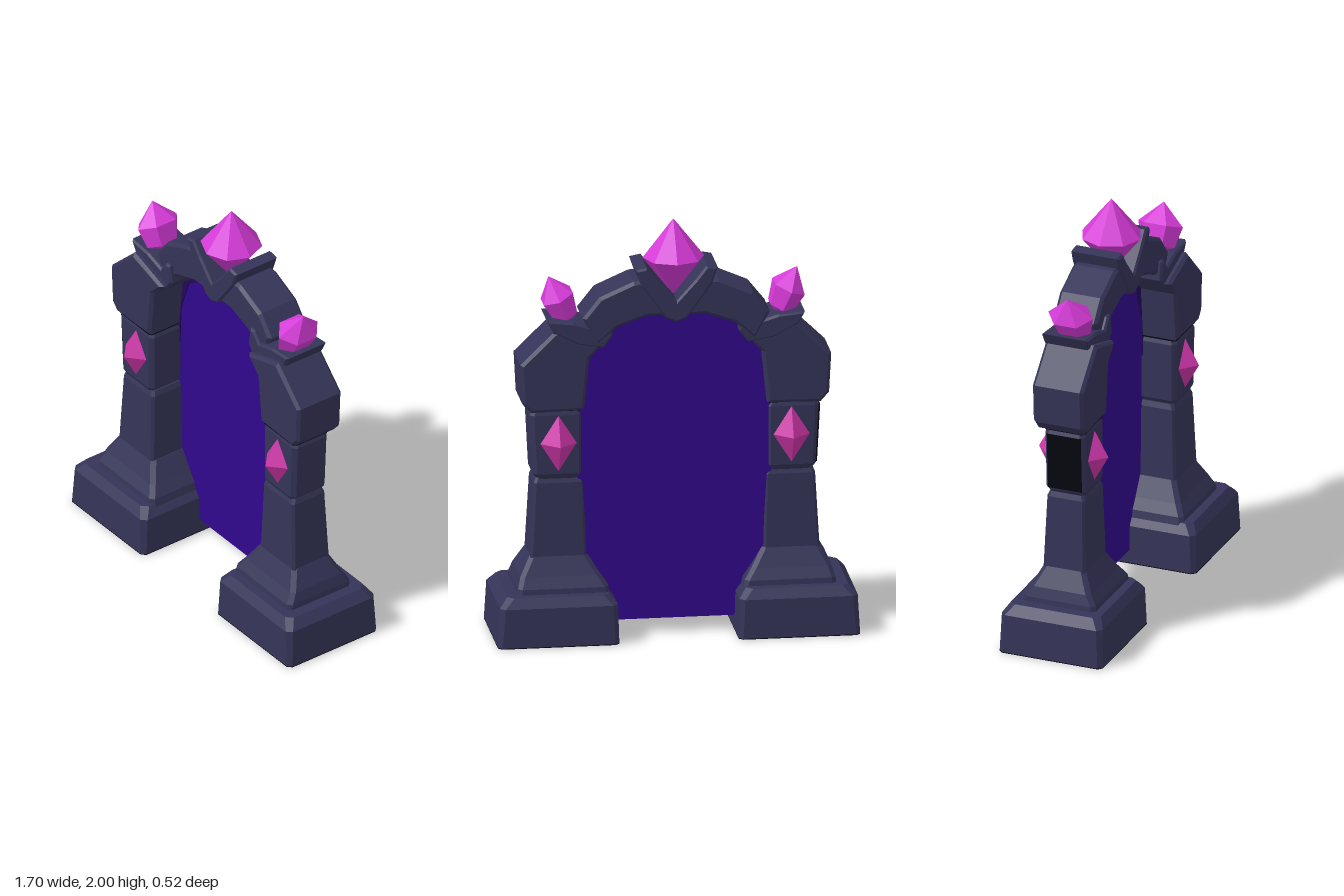
import * as THREE from 'three';

const mat = (name, color) => {
  const m = new THREE.MeshStandardMaterial({ color, flatShading: true });
  m.name = name;
  return m;
};

// Stack of cut-corner rectangles; rows are [y, xMin, xMax, zHalf, cut], x is mirrored by s
function stackGeometry(rows, s) {
  const rings = rows.map(([y, a, b, d, c]) => {
    const x0 = Math.min(a * s, b * s), x1 = Math.max(a * s, b * s);
    return [[x0 + c, d], [x1 - c, d], [x1, d - c], [x1, c - d],
      [x1 - c, -d], [x0 + c, -d], [x0, c - d], [x0, d - c]].map(([x, z]) => [x, y, z]);
  });
  return ringGeometry(rings);
}

// Joins closed loops of equal length and caps both ends
function ringGeometry(rings) {
  const pos = [], n = rings[0].length;
  const tri = (a, b, c) => pos.push(...a, ...b, ...c);
  for (let r = 0; r < rings.length - 1; r++) {
    for (let i = 0; i < n; i++) {
      const j = (i + 1) % n, lo = rings[r], hi = rings[r + 1];
      tri(lo[i], lo[j], hi[j]);
      tri(lo[i], hi[j], hi[i]);
    }
  }
  const first = rings[0], last = rings[rings.length - 1];
  const middle = (ring) => [0, 1, 2].map((k) => ring.reduce((t, p) => t + p[k], 0) / n);
  const m0 = middle(first), m1 = middle(last);
  for (let i = 0; i < n; i++) {
    const j = (i + 1) % n;
    tri(m0, first[j], first[i]);
    tri(m1, last[i], last[j]);
  }
  const g = new THREE.BufferGeometry();
  g.setAttribute('position', new THREE.Float32BufferAttribute(pos, 3));
  g.computeVertexNormals();
  return g;
}

// Bevelled stone cut from a front outline
function slabGeometry(points, s, z0, z1, bevel) {
  const shape = new THREE.Shape(points.map(([x, y]) => new THREE.Vector2(x * s, y)));
  const g = new THREE.ExtrudeGeometry(shape, {
    depth: z1 - z0 - 2 * bevel, bevelEnabled: true, bevelSegments: 1,
    bevelSize: bevel, bevelThickness: bevel, bevelOffset: -bevel,
  });
  return g.translate(0, 0, z0 + bevel);
}

const latheGeometry = (points, sides) =>
  new THREE.LatheGeometry(points.map(([r, y]) => new THREE.Vector2(r, y)), sides);

export function createModel() {
  const model = new THREE.Group();
  model.name = 'crystalPortal';
  const stone = mat('dark stone', 0x353458);
  const black = mat('black stone', 0x06060f);
  const portalColor = mat('portal violet', 0x30078c);
  const rimColor = mat('portal rim violet', 0x22075a);
  const crystal = mat('crystal magenta', 0xd63ad8);
  const gem = mat('gem pink', 0xcf36aa);

  const add = (parent, name, geometry, material) => {
    const m = new THREE.Mesh(geometry, material);
    m.name = name;
    parent.add(m);
    return m;
  };

  for (const s of [1, -1]) {
    const side = new THREE.Group();
    side.name = s > 0 ? 'leftPillar' : 'rightPillar';
    model.add(side);

    // Column, bottom to top
    add(side, 'baseUnderside', stackGeometry([
      [0, 0.28, 0.85, 0.26, 0.02], [0.004, 0.28, 0.85, 0.26, 0.02]], s), black);
    add(side, 'base', stackGeometry([
      [0.004, 0.28, 0.85, 0.26, 0.02], [0.19, 0.285, 0.84, 0.255, 0.025], [0.235, 0.32, 0.80, 0.225, 0.03]], s), stone);
    add(side, 'plinth', stackGeometry([
      [0.22, 0.31, 0.75, 0.185, 0.02], [0.26, 0.32, 0.745, 0.18, 0.02],
      [0.31, 0.355, 0.73, 0.15, 0.02], [0.4, 0.41, 0.68, 0.105, 0.02]], s), stone);
    add(side, 'shaft', stackGeometry([
      [0.38, 0.415, 0.68, 0.107, 0.012], [0.75, 0.425, 0.66, 0.095, 0.012], [0.775, 0.435, 0.65, 0.085, 0.012]], s), stone);
    add(side, 'middleBlock', stackGeometry([
      [0.765, 0.45, 0.64, 0.085, 0.015], [0.795, 0.43, 0.665, 0.1, 0.02],
      [1.08, 0.43, 0.68, 0.1, 0.02], [1.115, 0.445, 0.665, 0.09, 0.02]], s), stone);
    add(side, 'shoulderUnderside', stackGeometry([
      [1.1, 0.435, 0.678, 0.1, 0.01], [1.109, 0.435, 0.678, 0.1, 0.01]], s), black);

    // Shoulder and arch stones
    add(side, 'shoulder', slabGeometry([[0.43, 1.11], [0.68, 1.105], [0.72, 1.15], [0.73, 1.34],
      [0.555, 1.51], [0.33, 1.44], [0.405, 1.36]], s, -0.14, 0.115, 0.015), stone);
    add(side, 'crystalHolder', slabGeometry([[0.605, 1.55], [0.575, 1.49], [0.46, 1.43], [0.34, 1.41], [0.295, 1.47],
      [0.31, 1.56], [0.34, 1.56], [0.38, 1.51], [0.48, 1.54]], s, -0.145, 0.085, 0.01), stone);
    add(side, 'archStone', slabGeometry([[0.05, 1.63], [0.13, 1.735], [0.2, 1.73], [0.36, 1.66], [0.44, 1.56],
      [0.37, 1.43], [0.28, 1.51], [0.14, 1.56], [0.05, 1.56]], s, -0.155, 0.065, 0.015), stone);

    // Leaning crystal on the shoulder
    const shard = add(side, 'shoulderCrystal', latheGeometry(
      [[0, 0], [0.065, 0.05], [0.085, 0.15], [0, 0.255]], 6), crystal);
    shard.scale.z = 1.32;
    shard.position.set(s * 0.487, 1.5, -0.022);
    shard.rotation.z = -s * 0.39;

    // Gems on the front and back of the column
    for (const f of [1, -1]) {
      const g = add(side, f > 0 ? 'frontGem' : 'backGem', new THREE.OctahedronGeometry(1), gem);
      g.scale.set(0.085, 0.135, 0.075);
      g.position.set(s * 0.547, 0.945, f * 0.1 - 0.005);
    }
  }

  // Black outer face on one middle block
  add(model, 'blackSideFace', stackGeometry([
    [0.8, 0.661, 0.669, 0.085, 0.002], [1.08, 0.676, 0.684, 0.085, 0.002]], -1), black);

  // Keystone and top crystal
  add(model, 'keystone', slabGeometry([[0, 1.53], [0.05, 1.55], [0.165, 1.71], [0.193, 1.79], [0.14, 1.8],
    [0.09, 1.735], [0, 1.635], [-0.09, 1.735], [-0.14, 1.8], [-0.193, 1.79], [-0.165, 1.71], [-0.05, 1.55]],
  1, -0.17, 0.075, 0.01), stone);
  const top = add(model, 'topCrystal', latheGeometry([[0, 1.63], [0.145, 1.815], [0, 2]], 8), crystal);
  top.position.z = -0.043;

  // Portal: thin sheet towards the back of the frame
  const half = [[0.33, 0.07], [0.35, 0.24], [0.42, 0.32], [0.45, 0.45], [0.455, 0.8], [0.455, 1.2],
    [0.43, 1.4], [0.28, 1.53], [0.1, 1.575]];
  const outline = [...half, ...half.map(([x, y]) => [-x, y]).reverse()];
  const loop = (z) => outline.map(([x, y]) => [x, y, z]);
  add(model, 'portal', ringGeometry([loop(-0.09), loop(-0.07)]), portalColor);

  // Darker band around the front of the portal arch
  const band = [[0.455, 1.0], [0.455, 1.2], [0.43, 1.4], [0.28, 1.53], [0.1, 1.575]];
  const inner = [[0.43, 1.0], [0.42, 1.2], [0.36, 1.37], [0.22, 1.475], [0.08, 1.515]];
  const arc = (p) => [...p, ...p.map(([x, y]) => [-x, y]).reverse()];
  add(model, 'portalRim', slabGeometry([...arc(band), ...arc(inner).reverse()], 1, -0.072, -0.064, 0.001), rimColor);

  return model;
}
